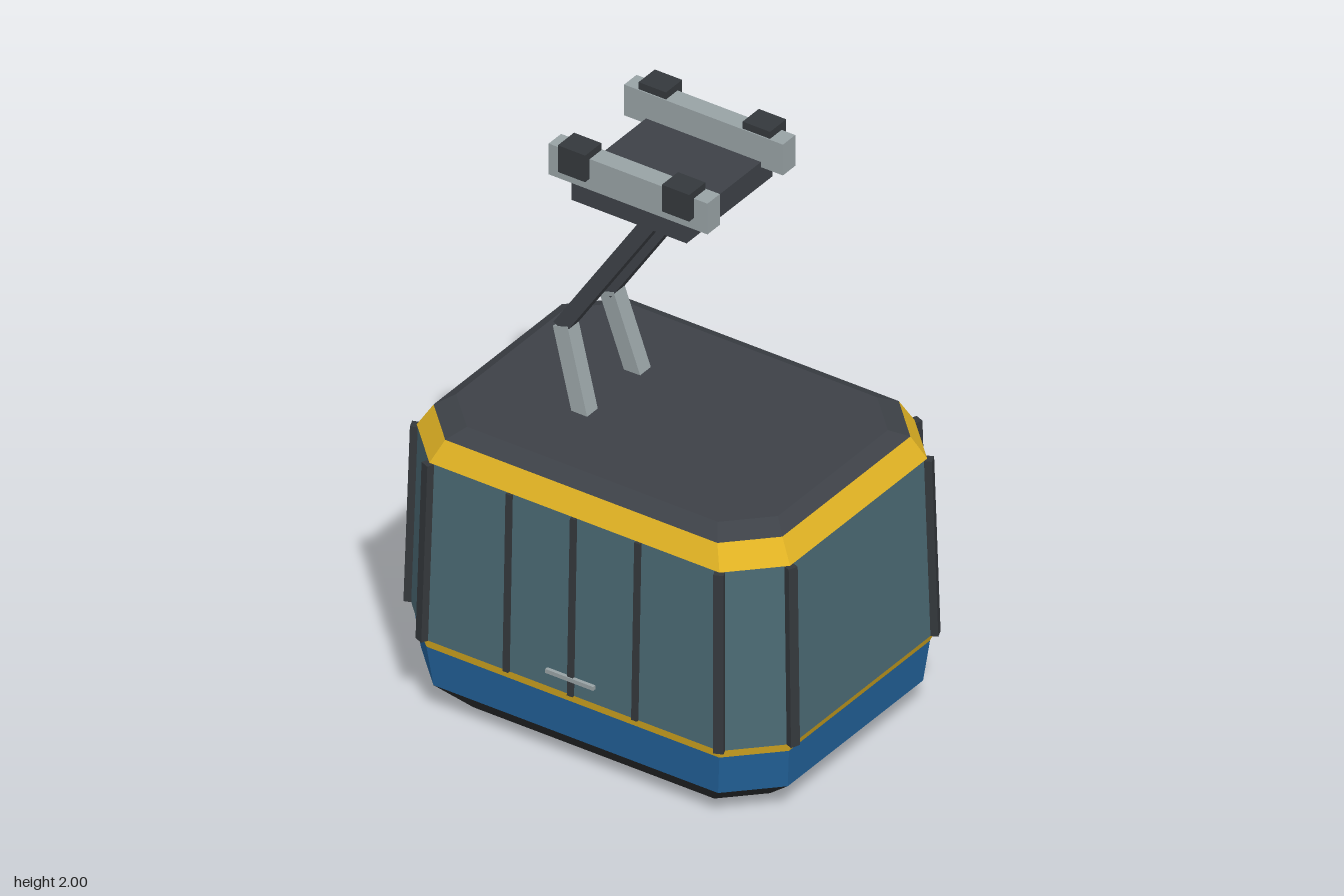
import * as THREE from 'three';

const material = (name, color, extra = {}) => {
  const m = new THREE.MeshStandardMaterial({ color, ...extra });
  m.name = name;
  return m;
};

// Octagonal outline: half width, half depth, corner chamfer
function outline([y, hx, hz, c]) {
  const pts = [];
  const quarter = [[hx, hz - c], [hx - c, hz]];
  for (const [sx, sz] of [[1, 1], [-1, 1], [-1, -1], [1, -1]]) {
    const pair = sx * sz > 0 ? quarter : [...quarter].reverse();
    for (const [x, z] of pair) pts.push(new THREE.Vector3(x * sx, y, z * sz));
  }
  return pts;
}

// Flat-sided band through a stack of outlines, with optional end caps
function band(rings, { top = false, bottom = false } = {}) {
  const loops = rings.map(outline);
  const tris = [];
  for (let r = 0; r < loops.length - 1; r++) {
    const lo = loops[r], up = loops[r + 1];
    for (let i = 0; i < 8; i++) {
      const j = (i + 1) % 8;
      tris.push(lo[i], up[i], up[j], lo[i], up[j], lo[j]);
    }
  }
  const first = loops[0], last = loops[loops.length - 1];
  for (let i = 1; i < 7; i++) {
    if (top) tris.push(last[0], last[i + 1], last[i]);
    if (bottom) tris.push(first[0], first[i], first[i + 1]);
  }
  const g = new THREE.BufferGeometry().setFromPoints(tris);
  g.computeVertexNormals();
  return g;
}

// Square bar between two points; its depth axis faces "outward"
function beam(from, to, width, depth, outward) {
  const g = new THREE.BoxGeometry(depth, from.distanceTo(to), width);
  const y = to.clone().sub(from).normalize();
  const x = outward.clone().addScaledVector(y, -outward.dot(y)).normalize();
  const z = new THREE.Vector3().crossVectors(x, y);
  const m = new THREE.Matrix4().makeBasis(x, y, z);
  m.setPosition(from.clone().add(to).multiplyScalar(0.5));
  return g.applyMatrix4(m);
}

export function createModel() {
  const model = new THREE.Group();
  model.name = 'cableCar';
  const dark = material('dark grey', 0x3d4147);
  const frame = material('frame charcoal', 0x34383c);
  const under = material('underside black', 0x2a2c2e);
  const steel = material('light steel', 0x98a2a5);
  const yellow = material('yellow', 0xe2b424);
  const blue = material('blue', 0x22629a);
  const glass = material('teal glass', 0x4b6a74);

  const add = (name, geometry, mat, parent = model) => {
    const mesh = new THREE.Mesh(geometry, mat);
    mesh.name = name;
    parent.add(mesh);
    return mesh;
  };
  const box = (name, size, pos, mat, parent) =>
    add(name, new THREE.BoxGeometry(...size), mat, parent).position.set(...pos);
  const V = (x, y, z) => new THREE.Vector3(x, y, z);

  // Cabin shell, bottom to top: [y, half width, half depth, chamfer]
  const floor = [0, 0.56, 0.41, 0.12];
  const sill = [0.1, 0.67, 0.505, 0.15];
  const waist = [0.24, 0.685, 0.52, 0.15];
  const glassLow = [0.27, 0.698, 0.528, 0.157];
  const glassHigh = [0.895, 0.682, 0.512, 0.152];
  const eave = [0.97, 0.637, 0.476, 0.14];
  const roofTop = [1.0, 0.588, 0.418, 0.13];
  const cabin = new THREE.Group();
  cabin.name = 'cabin';
  model.add(cabin);
  add('underside', band([floor, sill], { bottom: true }), under, cabin);
  add('lowerPanel', band([sill, waist]), blue, cabin);
  add('waistTrim', band([waist, glassLow]), yellow, cabin);
  add('windows', band([glassLow, glassHigh]), glass, cabin);
  add('roofTrim', band([glassHigh, eave]), yellow, cabin);
  add('roof', band([eave, roofTop], { top: true }), dark, cabin);

  // Corner posts on all eight edges of the glazing
  const low = outline(glassLow), high = outline(glassHigh);
  low.forEach((p, i) => {
    const nearSide = Math.abs(p.x) > 0.6;
    const a = Math.PI / 8 * (nearSide ? 1 : 3);
    const out = V(Math.sign(p.x) * Math.cos(a), 0, Math.sign(p.z) * Math.sin(a));
    add('cornerPost', beam(p, high[i], 0.032, 0.035, out), frame, cabin);
  });

  // Door posts and handles on the front and back
  for (const s of [1, -1]) {
    for (const x of [-0.235, 0, 0.235]) {
      add('doorPost', beam(V(x, 0.27, s * 0.528), V(x, 0.895, s * 0.512), 0.02, 0.02, V(0, 0, s)), frame, cabin);
    }
    box('doorHandle', [0.175, 0.014, 0.012], [0, 0.33, s * 0.534], steel, cabin);
  }

  // Bent hanger arms
  const hanger = new THREE.Group();
  hanger.name = 'hanger';
  model.add(hanger);
  for (const s of [1, -1]) {
    const out = V(0, 0, s);
    add('lowerArm', beam(V(-0.217, 0.98, s * 0.14), V(-0.305, 1.27, s * 0.12), 0.056, 0.056, out), steel, hanger);
    add('upperArm', beam(V(-0.31, 1.265, s * 0.12), V(0.055, 1.815, s * 0.12), 0.05, 0.054, out), dark, hanger);
  }

  // Carriage with two rails and four grips
  const carriage = new THREE.Group();
  carriage.name = 'carriage';
  model.add(carriage);
  box('carriagePlate', [0.42, 0.083, 0.45], [0, 1.842, 0], dark, carriage);
  for (const s of [1, -1]) {
    box('rail', [0.58, 0.11, 0.065], [0, 1.92, s * 0.198], steel, carriage);
    for (const x of [-0.19, 0.19]) {
      box('grip', [0.1, 0.095, 0.085], [x, 1.9525, s * 0.212], frame, carriage);
    }
  }
  return model;
}
